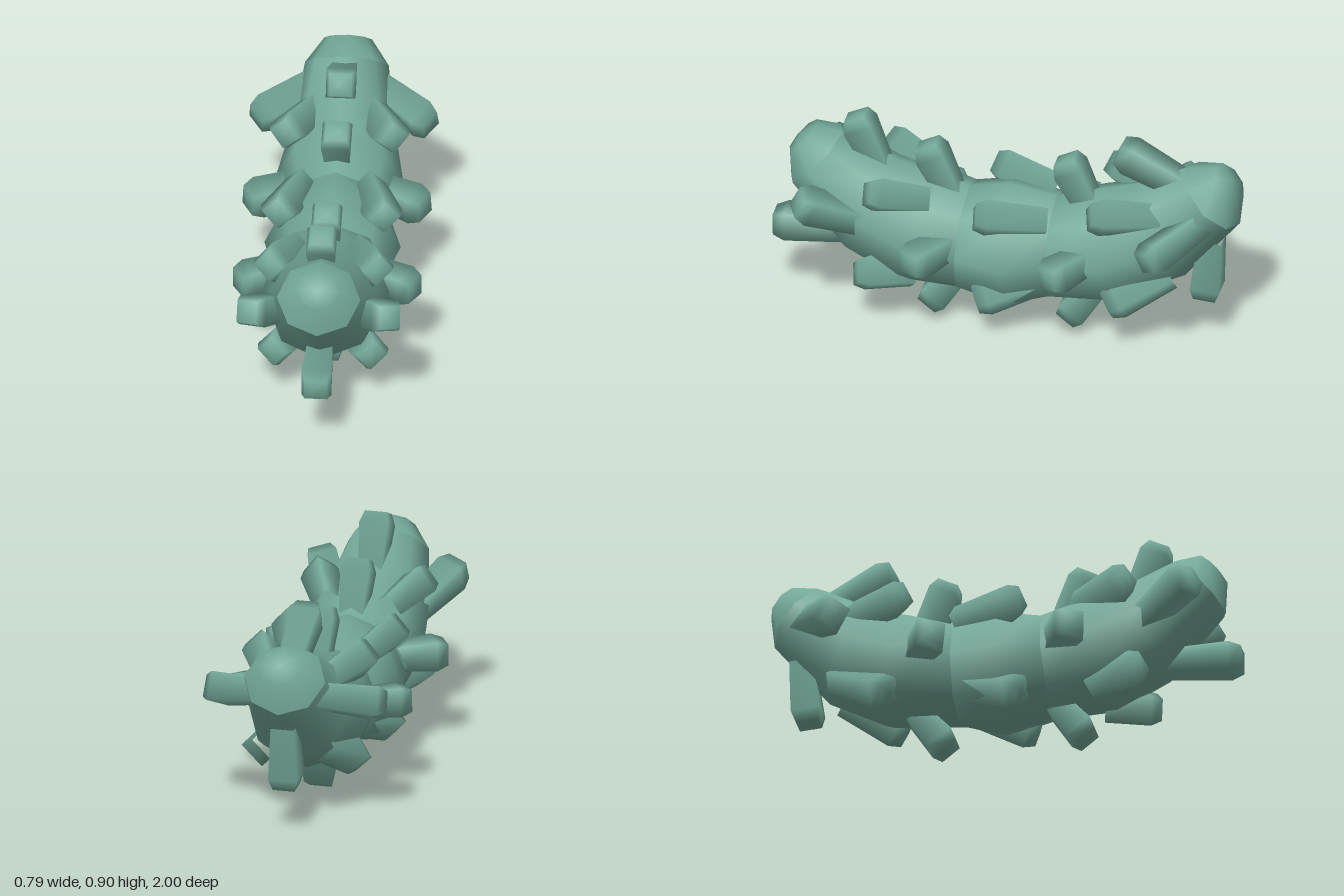
import * as THREE from 'three';
import { mergeVertices } from 'three/addons/utils/BufferGeometryUtils.js';

const SIDES = 8;

// Loft through rings given as [topZ, topY, bottomZ, bottomY, halfWidth]
function loft(rings) {
  const pos = [], index = [];
  rings.forEach(([tz, ty, bz, by, w], i) => {
    for (let j = 0; j < SIDES; j++) {
      const a = (j / SIDES) * Math.PI * 2, c = Math.cos(a) / 2;
      pos.push(w * Math.sin(a), (ty + by) / 2 + c * (ty - by), (tz + bz) / 2 + c * (tz - bz));
      if (i === rings.length - 1) continue;
      const k = (j + 1) % SIDES, r = i * SIDES, s = r + SIDES;
      index.push(r + j, r + k, s + j, r + k, s + k, s + j);
    }
  });
  let geo = new THREE.BufferGeometry();
  geo.setAttribute('position', new THREE.Float32BufferAttribute(pos, 3));
  geo.setIndex(index);
  geo = mergeVertices(geo, 1e-4);
  geo.computeVertexNormals();
  return geo;
}

// Square peg with a chamfered end, running from a base point to a tip point
function peg(from, to) {
  const base = new THREE.Vector3(...from), tip = new THREE.Vector3(...to);
  const dir = tip.clone().sub(base).normalize();
  base.addScaledVector(dir, -0.06);
  const len = base.distanceTo(tip);
  const profile = [[0.07, 0], [0.088, len - 0.05], [0.066, len], [0, len + 0.003]]
    .map(([r, y]) => new THREE.Vector2(r, y));
  const geo = new THREE.LatheGeometry(profile, 4, Math.PI / 4);
  // Turn one flat face away from the body's centre line
  const radial = new THREE.Vector3(tip.x, tip.y - (0.37 + 0.33 * tip.z * tip.z), 0);
  const side = new THREE.Vector3().crossVectors(dir, radial).normalize();
  const out = new THREE.Vector3().crossVectors(side, dir);
  geo.applyMatrix4(new THREE.Matrix4().makeBasis(side, dir, out).setPosition(base));
  return geo;
}

export function createModel() {
  const model = new THREE.Group();
  const skin = new THREE.MeshStandardMaterial({ color: 0x74a999 });
  skin.name = 'sea green';
  const add = (name, geo) => {
    const mesh = new THREE.Mesh(geo, skin);
    mesh.name = name;
    model.add(mesh);
  };

  // Curved body: two domed ends and three swelling sections
  const frontRim = [0.71, 0.795, 0.93, 0.565, 0.175];
  const frontSeam = [0.17, 0.605, 0.2, 0.145, 0.24];
  const rearSeam = [-0.2, 0.6, -0.2, 0.14, 0.23];
  const rearRim = [-0.75, 0.8, -0.985, 0.565, 0.175];
  add('frontDome', loft([[0.892, 0.772, 0.892, 0.772, 0], [0.82, 0.82, 0.937, 0.7, 0.1], frontRim]));
  add('frontBody', loft([frontRim, [0.47, 0.69, 0.7, 0.285, 0.235], [0.32, 0.65, 0.46, 0.165, 0.265], frontSeam]));
  add('middleBody', loft([frontSeam, [0, 0.635, -0.03, 0.09, 0.285], rearSeam]));
  add('rearBody', loft([rearSeam, [-0.36, 0.65, -0.51, 0.165, 0.265], [-0.54, 0.7, -0.75, 0.285, 0.22], rearRim]));
  add('rearDome', loft([rearRim, [-0.88, 0.82, -1, 0.7, 0.1], [-0.95, 0.772, -0.95, 0.772, 0]]));

  // Pegs on the centre line: [baseY, baseZ, tipY, tipZ]
  [
    [0.72, 0.58, 0.885, 0.655], [0.62, 0.27, 0.785, 0.35],
    [0.62, -0.32, 0.785, -0.24], [0.74, -0.7, 0.855, -0.47],
    [0.15, 0.25, 0.03, 0.345], [0.15, -0.34, 0.03, -0.245],
    [0.345, 0.72, 0.34, 1], [0.42, -0.86, 0.198, -0.84],
  ].forEach(([by, bz, ty, tz]) => add('centrePeg', peg([0, by, bz], [0, ty, tz])));

  // Mirrored pegs: [base x, y, z, tip x, y, z]
  [
    [0.2, 0.41, 0.25, 0.37, 0.41, 0.35], [0.2, 0.41, -0.34, 0.37, 0.41, -0.24],
    [0.15, 0.6, 0.38, 0.23, 0.65, 0.56], [0.16, 0.56, -0.13, 0.225, 0.59, 0.1],
    [0.14, 0.62, -0.6, 0.23, 0.65, -0.39],
    [0.14, 0.23, 0.44, 0.21, 0.25, 0.61], [0.14, 0.24, -0.1, 0.21, 0.18, 0.1],
    [0.13, 0.32, -0.66, 0.21, 0.22, -0.46],
    [0.18, 0.5, 0.64, 0.3, 0.61, 0.84], [0.15, 0.6, -0.81, 0.365, 0.535, -0.655],
  ].forEach(([bx, by, bz, tx, ty, tz]) => {
    for (const s of [1, -1]) add(s > 0 ? 'leftPeg' : 'rightPeg', peg([s * bx, by, bz], [s * tx, ty, tz]));
  });

  return model;
}
